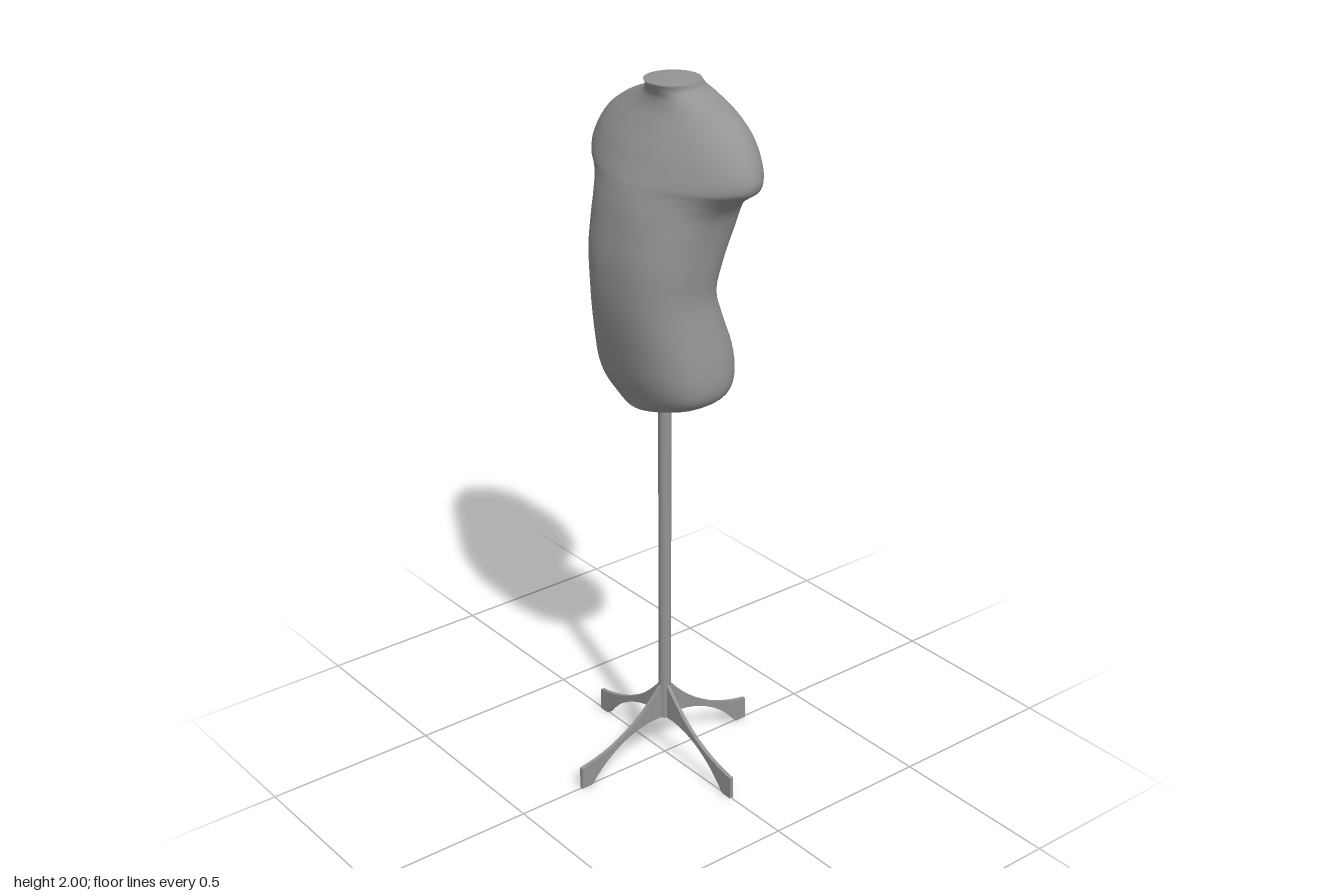
import * as THREE from 'three';

const material = new THREE.MeshStandardMaterial({ color: 0x949494, side: THREE.DoubleSide });

// Torso sections: height, half width, front z, back z, z of the sides, back groove depth, squareness exponent
const SECTIONS = [
  [1.122, 0.03, 0.09, 0.03, 0.06, 0, 1],
  [1.129, 0.085, 0.106, -0.04, 0.03, 0.01, 0.95],
  [1.148, 0.15, 0.112, -0.098, 0.01, 0.035, 0.9],
  [1.18, 0.192, 0.125, -0.138, 0, 0.045, 0.85],
  [1.23, 0.202, 0.142, -0.152, 0, 0.045, 0.82],
  [1.30, 0.196, 0.157, -0.147, 0.01, 0.03, 0.82],
  [1.38, 0.184, 0.172, -0.12, 0.025, 0.015, 0.82],
  [1.46, 0.176, 0.18, -0.1, 0.04, 0.012, 0.82],
  [1.55, 0.186, 0.18, -0.12, 0.03, 0.014, 0.82],
  [1.63, 0.198, 0.169, -0.152, 0.01, 0.018, 0.85],
  [1.69, 0.215, 0.159, -0.172, -0.01, 0.018, 0.93],
  [1.725, 0.243, 0.15, -0.18, -0.02, 0.018, 1.05],
  [1.748, 0.275, 0.143, -0.182, -0.028, 0.017, 1.14],
  [1.768, 0.301, 0.135, -0.183, -0.032, 0.017, 1.16],
  [1.80, 0.304, 0.118, -0.183, -0.035, 0.015, 1.12],
  [1.845, 0.284, 0.094, -0.177, -0.04, 0.012, 1.05],
  [1.89, 0.248, 0.066, -0.165, -0.045, 0.008, 1],
  [1.93, 0.188, 0.042, -0.15, -0.05, 0.004, 1],
  [1.96, 0.118, 0.034, -0.134, -0.045, 0, 1],
  [1.98, 0.08, 0.04, -0.115, -0.035, 0, 1],
  [2.0, 0.073, 0.05, -0.1, -0.025, 0, 1],
];

function torsoGeometry() {
  const around = 64, steps = 4, rings = (SECTIONS.length - 1) * steps + 1;
  const spline = new THREE.CubicInterpolant(SECTIONS.map((_, i) => i), SECTIONS.flat(), 7);
  const power = (v, e) => Math.sign(v) * Math.abs(v) ** e;
  const positions = [], index = [];
  for (let r = 0; r < rings; r++) {
    const [y, w, front, back, side, groove, e] = spline.evaluate(r / steps);
    for (let i = 0; i < around; i++) {
      const a = (i / around) * Math.PI * 2;
      const x = w * power(Math.cos(a), e);
      const s = Math.sin(a);
      // tapered towards the arms in front, fuller over the shoulder blades, with a spine and seat hollow
      const z = s > 0
        ? side + (front - side) * s ** e
        : side - (side - back) * (-s) ** Math.min(e, 1) + groove * Math.exp(-((x / 0.045) ** 2)) * Math.min(1, -2 * s);
      positions.push(x, y, z);
      if (r < rings - 1) {
        const p = r * around + i, q = r * around + (i + 1) % around;
        index.push(p, p + around, q, q, p + around, q + around);
      }
    }
  }
  // Closing fans, smooth with the neck and the underside
  const bottom = positions.length / 3, top = bottom + 1, last = (rings - 1) * around;
  positions.push(0, SECTIONS[0][0], 0.06, 0, 2, -0.025);
  for (let i = 0; i < around; i++) {
    const j = (i + 1) % around;
    index.push(j, bottom, i, last + i, top, last + j);
  }
  const g = new THREE.BufferGeometry();
  g.setAttribute('position', new THREE.Float32BufferAttribute(positions, 3));
  g.setIndex(index);
  g.computeVertexNormals();
  return g;
}

// Flat foot plate with curved upper and lower edges
function footGeometry() {
  const s = new THREE.Shape();
  s.moveTo(0, 0.125);
  s.lineTo(0.05, 0.125);
  s.bezierCurveTo(0.13, 0.118, 0.205, 0.075, 0.262, 0.004);
  s.lineTo(0.268, 0);
  s.lineTo(0.3, 0);
  s.lineTo(0.3, 0.066);
  s.bezierCurveTo(0.19, 0.082, 0.1, 0.13, 0.016, 0.232);
  s.lineTo(0, 0.235);
  const g = new THREE.ExtrudeGeometry(s, { depth: 0.011, bevelEnabled: false, curveSegments: 12 });
  return g.translate(0, 0, -0.0055);
}

export function createModel() {
  const model = new THREE.Group();
  model.name = 'dressForm';
  const add = (name, geometry) => {
    const mesh = new THREE.Mesh(geometry, material);
    mesh.name = name;
    model.add(mesh);
    return mesh;
  };

  add('torso', torsoGeometry());

  // Stand
  add('pole', new THREE.CylinderGeometry(0.018, 0.018, 1.055, 16)).position.y = 0.6525;
  const foot = footGeometry();
  for (let i = 0; i < 4; i++) add('foot' + (i + 1), foot).rotation.y = i * Math.PI / 2;
  return model;
}
